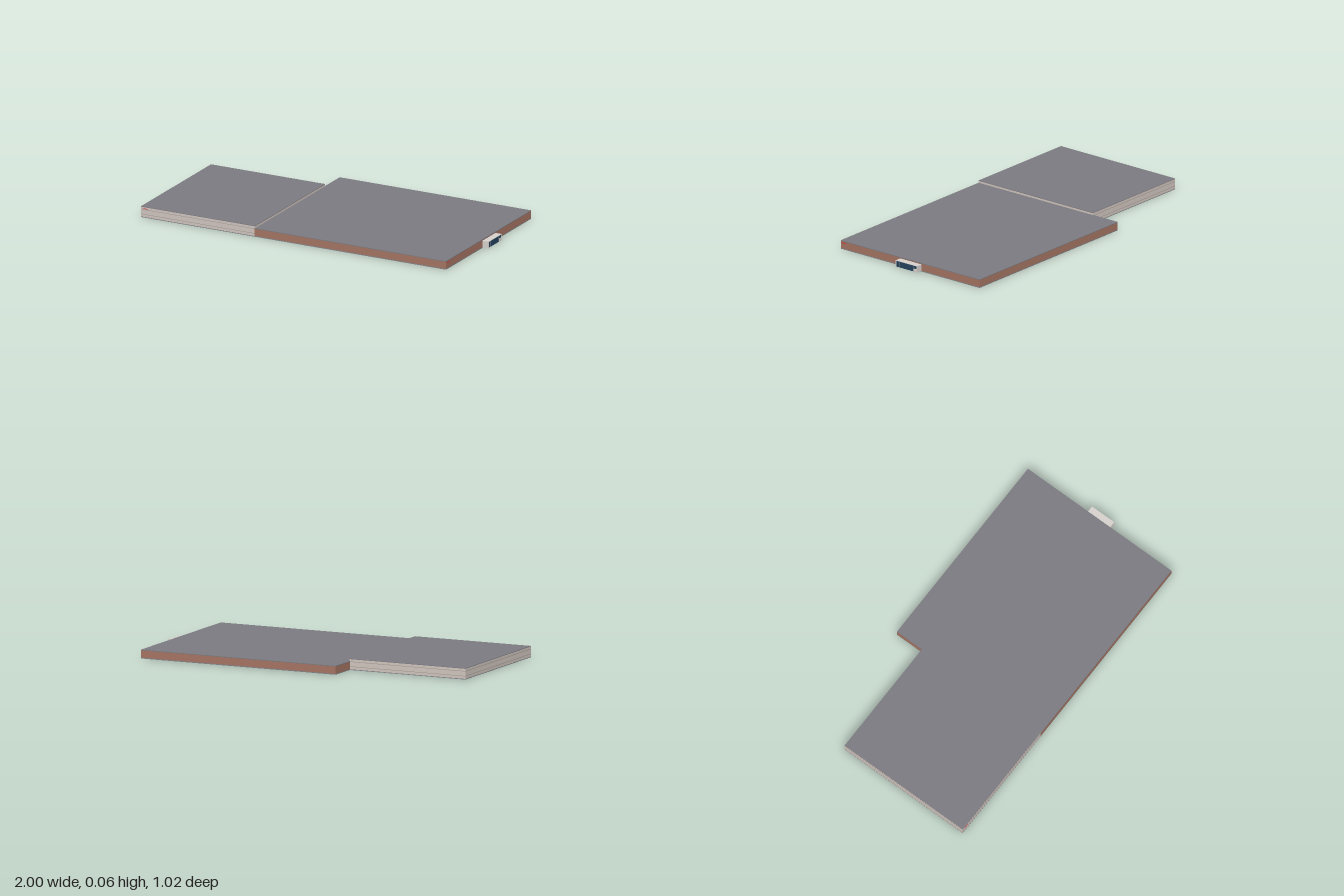
import * as THREE from 'three';

const mat = (color) => new THREE.MeshStandardMaterial({ color });

export function createModel() {
  const root = new THREE.Group();
  const roofGrey = mat(0x7c7b81), baseGrey = mat(0x85858a), brick = mat(0xa57563);
  const cream = mat(0xd2c6bf), trim = mat(0xa8a09b), glass = mat(0x24435e);
  const pale = mat(0xd8d2cd), red = mat(0xd83030);

  // box given by its min and max corners
  function block(parent, name, material, [x0, y0, z0], [x1, y1, z1]) {
    const mesh = new THREE.Mesh(new THREE.BoxGeometry(x1 - x0, y1 - y0, z1 - z0), material);
    mesh.position.set((x0 + x1) / 2, (y0 + y1) / 2, (z0 + z1) / 2);
    mesh.name = name;
    parent.add(mesh);
  }
  function group(name) {
    const g = new THREE.Group();
    g.name = name;
    root.add(g);
    return g;
  }

  // large brick hall: plinth, walls, flat roof
  const hall = group('mainHall');
  block(hall, 'plinth', baseGrey, [-0.27, 0, -0.51], [0.96, 0.005, 0.508]);
  block(hall, 'brickWalls', brick, [-0.27, 0.005, -0.51], [0.96, 0.047, 0.508]);
  block(hall, 'roof', roofGrey, [-0.27, 0.047, -0.51], [0.96, 0.051, 0.508]);

  // taller clad wing, built up as horizontal bands
  const wing = group('sideWing');
  const bands = [
    [0, 0.004, baseGrey, 'plinth'],
    [0.004, 0.018, cream, 'lowerCladding'],
    [0.018, 0.021, trim, 'lowerTrim'],
    [0.021, 0.046, cream, 'middleCladding'],
    [0.046, 0.049, trim, 'upperTrim'],
    [0.049, 0.062, cream, 'upperCladding'],
    [0.062, 0.065, roofGrey, 'roof'],
  ];
  for (const [y0, y1, material, name] of bands) {
    block(wing, name, material, [-1, y0, -0.33], [-0.267, y1, 0.508]);
  }

  // glazed entrance porch on the end wall
  const porch = group('entrancePorch');
  block(porch, 'porchRoof', pale, [0.96, 0.041, -0.085], [1, 0.043, 0.072]);
  for (const [z0, z1] of [[-0.085, -0.082], [0.069, 0.072]]) {
    block(porch, 'porchSideWall', pale, [0.96, 0.004, z0], [1, 0.041, z1]);
  }
  block(porch, 'porchGlazing', glass, [0.96, 0.004, -0.082], [0.996, 0.041, 0.069]);
  block(porch, 'porchDoorPanel', pale, [0.99, 0.005, -0.082], [1, 0.022, -0.06]);
  for (let i = 0; i < 5; i++) {
    const z = -0.055 + i * 0.025;
    block(porch, 'porchMullion', baseGrey, [0.996, 0.004, z], [0.997, 0.041, z + 0.0008]);
  }

  // small plain sign plates
  const signs = group('signPlates');
  block(signs, 'frontSign', red, [-0.985, 0.052, 0.508], [-0.955, 0.055, 0.51]);
  block(signs, 'endSign', red, [0.96, 0.037, 0.47], [0.9615, 0.041, 0.502]);

  return root;
}
